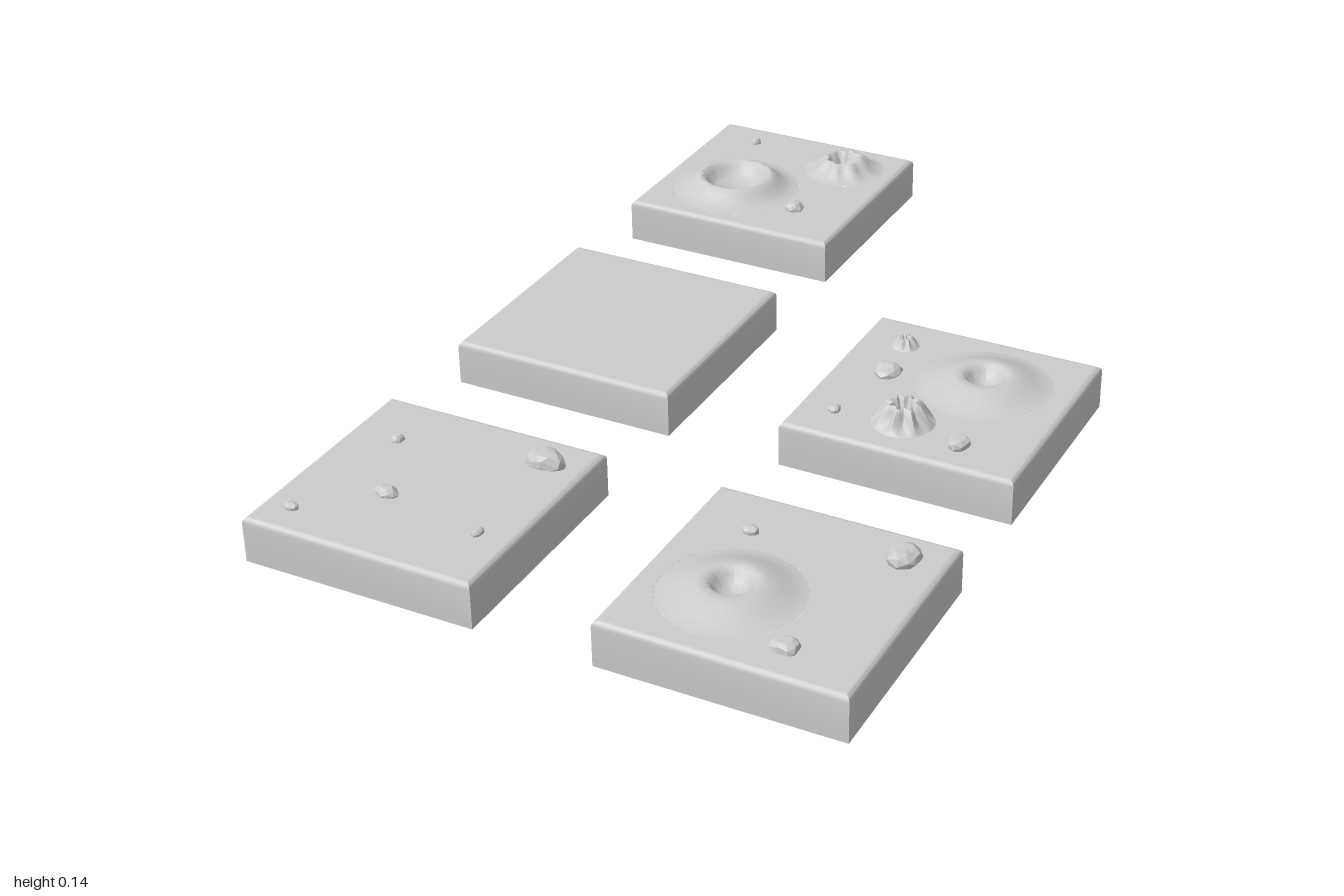
import * as THREE from 'three';
import { mergeVertices, toCreasedNormals } from 'three/addons/utils/BufferGeometryUtils.js';

const GROUND = 0.097, HALF = 0.25, EDGE = 0.012, SEG = 48;
const surface = new THREE.MeshStandardMaterial({ color: 0xcccccc, side: THREE.DoubleSide });
const stone = new THREE.MeshStandardMaterial({ color: 0xcccccc, flatShading: true });

// Cross-sections as [radius, height above ground], from the outer foot over the rim to the bowl floor
const wideCrater = [[0.15, 0], [0.132, 0.002], [0.115, 0.009], [0.1, 0.021], [0.088, 0.031], [0.082, 0.033],
  [0.076, 0.031], [0.066, 0.02], [0.057, 0.007], [0.047, 0], [0, -0.002]];
const ridgedCrater = [[0.095, 0], [0.082, 0.002], [0.068, 0.009], [0.056, 0.019], [0.045, 0.03], [0.039, 0.031],
  [0.034, 0.027], [0.027, 0.012], [0.021, 0.003], [0, 0.001]];
const domeCrater = [[0.14, 0], [0.125, 0.002], [0.105, 0.009], [0.085, 0.018], [0.065, 0.025], [0.049, 0.027],
  [0.044, 0.025], [0.036, 0.014], [0.027, 0.003], [0.018, -0.003], [0, -0.005]];
const vent = [[0.065, 0], [0.056, 0.006], [0.047, 0.017], [0.038, 0.03], [0.031, 0.042], [0.026, 0.044],
  [0.02, 0.038], [0.015, 0.02], [0.01, 0.012], [0, 0.01]];

// Each tile: centre, craters [x, z, profile, scale, ridge depth], rocks [x, z, width, height, depth]
const tiles = [
  { name: 'twinCraterTile', x: -0.375, z: -0.75,
    craters: [[-0.443, -0.68, wideCrater, 1, 0], [-0.253, -0.878, ridgedCrater, 1, 0.09]],
    rocks: [[-0.51, -0.92, 0.014, 0.012, 0.013], [-0.265, -0.633, 0.023, 0.017, 0.022]] },
  { name: 'plainTile', x: -0.375, z: 0, craters: [], rocks: [] },
  { name: 'ventTile', x: 0.375, z: 0,
    craters: [[0.437, -0.068, domeCrater, 1, 0], [0.345, 0.135, vent, 1, 0.2], [0.225, -0.15, vent, 0.45, 0.2]],
    rocks: [[0.237, -0.03, 0.027, 0.02, 0.033], [0.202, 0.155, 0.014, 0.011, 0.016], [0.48, 0.172, 0.026, 0.018, 0.024]] },
  { name: 'rockTile', x: -0.375, z: 0.75, craters: [],
    rocks: [[-0.21, 0.582, 0.043, 0.026, 0.036], [-0.52, 0.637, 0.014, 0.012, 0.014], [-0.43, 0.81, 0.028, 0.016, 0.019],
      [-0.2, 0.85, 0.012, 0.01, 0.014], [-0.56, 0.93, 0.014, 0.011, 0.014]] },
  { name: 'domeCraterTile', x: 0.375, z: 0.75,
    craters: [[0.308, 0.812, domeCrater, 1, 0]],
    rocks: [[0.543, 0.582, 0.037, 0.025, 0.034], [0.251, 0.623, 0.016, 0.013, 0.017], [0.464, 0.92, 0.03, 0.017, 0.024]] },
];

function mesh(name, geometry, material) {
  const m = new THREE.Mesh(geometry, material);
  m.name = name;
  return m;
}

// Weld a lathe's seam, then shade it with creases
function crease(geometry, angle) {
  geometry.deleteAttribute('uv');
  geometry.deleteAttribute('normal');
  return toCreasedNormals(mergeVertices(geometry, 1e-5), angle);
}

// Four walls, open below, with a rounded upper edge
function makeWalls() {
  const profile = [[HALF, 0]];
  for (let i = 0; i <= 4; i++) {
    const a = (i / 4) * Math.PI / 2;
    profile.push([HALF - EDGE * (1 - Math.cos(a)), GROUND - EDGE * (1 - Math.sin(a))]);
  }
  const points = profile.map(([r, y]) => new THREE.Vector2(r * Math.SQRT2, y));
  return mesh('walls', crease(new THREE.LatheGeometry(points, 4, Math.PI / 4), 0.6), surface);
}

// Flat ground with a round opening for every crater
function makeGround(tile) {
  const h = HALF - EDGE;
  const shape = new THREE.Shape([[-h, -h], [h, -h], [h, h], [-h, h]].map(([x, y]) => new THREE.Vector2(x, y)));
  for (const [x, z, profile, scale] of tile.craters) {
    const hole = new THREE.Path();
    hole.absarc(x - tile.x, tile.z - z, profile[0][0] * scale, 0, Math.PI * 2, true);
    shape.holes.push(hole);
  }
  const geometry = new THREE.ShapeGeometry(shape, SEG);
  geometry.rotateX(-Math.PI / 2).translate(0, GROUND, 0);
  return mesh('ground', geometry, surface);
}

// Raised crater or vent, with eight ridges that fade out at the foot and the bowl
function makeCrater(profile, scale, ridge) {
  const points = profile.map(([r, y]) => new THREE.Vector2(r * scale, y * scale));
  const geometry = new THREE.LatheGeometry(points, SEG);
  const p = geometry.attributes.position;
  for (let i = 0; i < p.count; i++) {
    const x = p.getX(i), z = p.getZ(i);
    const t = Math.hypot(x, z) / (profile[0][0] * scale);
    const k = 1 + ridge * Math.sin(Math.PI * t) * Math.cos(8 * Math.atan2(z, x));
    p.setX(i, x * k);
    p.setZ(i, z * k);
  }
  return mesh(profile === vent ? 'vent' : 'crater', crease(geometry, 0.7), surface);
}

// Irregular faceted rock
function makeRock(width, height, depth, seed) {
  const geometry = new THREE.IcosahedronGeometry(1, 1);
  const p = geometry.attributes.position, v = new THREE.Vector3();
  for (let i = 0; i < p.count; i++) {
    v.fromBufferAttribute(p, i);
    const k = 0.95 + 0.1 * Math.sin(3.1 * v.x + seed) + 0.09 * Math.sin(4.3 * v.z + 2 * seed) + 0.06 * Math.sin(5 * v.y + 3 * seed);
    v.multiplyScalar(k);
    v.y = Math.min(v.y, 0.8);
    p.setXYZ(i, v.x * width, v.y * height, v.z * depth);
  }
  geometry.computeVertexNormals();
  return mesh('rock', geometry, stone);
}

export function createModel() {
  const model = new THREE.Group();
  model.name = 'terrainTiles';
  tiles.forEach((tile, n) => {
    const group = new THREE.Group();
    group.name = tile.name;
    group.position.set(tile.x, 0, tile.z);
    group.add(makeWalls(), makeGround(tile));
    for (const [x, z, profile, scale, ridge] of tile.craters) {
      const crater = makeCrater(profile, scale, ridge);
      crater.position.set(x - tile.x, GROUND, z - tile.z);
      group.add(crater);
    }
    tile.rocks.forEach(([x, z, width, height, depth], i) => {
      const rock = makeRock(width, height, depth, n * 5 + i * 1.7 + 1);
      rock.position.set(x - tile.x, GROUND + height * 0.2, z - tile.z);
      group.add(rock);
    });
    model.add(group);
  });
  return model;
}
